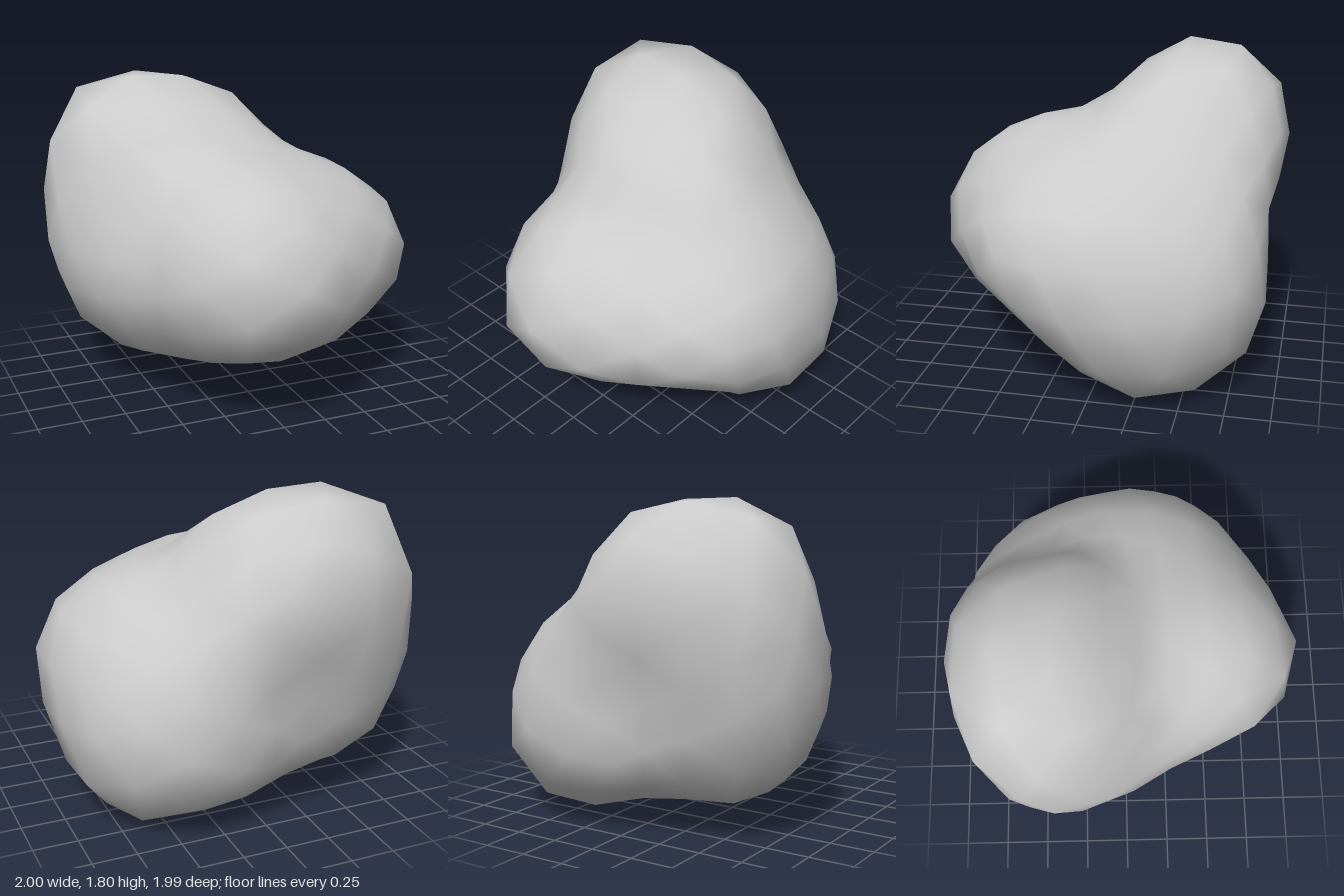
import * as THREE from 'three';
import { mergeVertices } from 'three/addons/utils/BufferGeometryUtils.js';

const CORE = new THREE.Vector3(0, 0.85, -0.1);

// Landmarks on the skin, grouped by region; the surface is a smooth radius field through them
const REGIONS = {
  hump: [
    [-0.14, 1.78, -0.38], [-0.58, 1.77, -0.6], [-0.86, 1.63, -0.5], [-0.95, 1.32, -0.42],
    [-0.3, 1.46, -0.95], [-0.65, 1.3, -0.9], [-0.88, 1.1, -0.73], [0.21, 1.57, -0.55],
    [-0.3, 1.65, -0.1], [-0.35, 1.46, 0.1], [0.34, 1.36, -0.5],
  ],
  leftFlank: [
    [-1, 0.95, -0.42], [-0.92, 0.56, -0.35], [-0.83, 0.35, -0.35], [-0.92, 0.85, -0.1],
    [-0.65, 1.05, 0.18], [-0.6, 0.75, 0.53], [-0.52, 0.45, 0.45], [-0.6, 0.2, -0.2],
  ],
  frontBulge: [
    [-0.32, 0.75, 0.95], [0.26, 0.65, 0.92], [-0.1, 1.18, 0.82], [0.3, 1.06, 0.8],
    [0, 0.38, 0.74], [0.05, 1.35, 0.5], [0.05, 0.27, 0.42],
  ],
  rightShoulder: [
    [0.1, 1.42, 0.1], [0.53, 1.31, 0.05], [0.85, 1.13, -0.1], [1, 0.88, 0],
    [0.99, 0.6, -0.33], [0.97, 0.75, 0.34], [0.78, 0.75, 0.58], [0.55, 0.3, 0.3],
  ],
  back: [
    [0.14, 1.2, -0.92], [0.42, 1.1, -0.78], [0.79, 0.65, -0.73], [0.43, 0.55, -0.93],
    [0.4, 0.27, -0.87], [0, 0.86, -0.87], [-0.45, 0.7, -0.82], [-0.78, 0.42, -0.62],
  ],
  underside: [
    [0.65, 0, -0.23], [0.94, 0.24, -0.2], [0.25, 0.04, -0.4], [-0.13, 0.15, -0.2],
    [-0.4, 0.25, -0.65], [0.5, 0.07, -0.64],
  ],
};
const BASE = 0.95;   // mean radius
const SPREAD = 0.6;  // how far each landmark pulls the skin
const SOFTNESS = 0.01;

const pull = (a, b) => Math.exp(-a.distanceToSquared(b) / SPREAD ** 2);

// Solve the pull strengths so that the skin passes through the landmarks
function fitLandmarks() {
  const marks = Object.values(REGIONS).flat().map((p) => {
    const v = new THREE.Vector3(...p).sub(CORE);
    return { rise: v.length() - BASE, dir: v.normalize(), weight: 0 };
  });
  const rows = marks.map((a) => marks.map((b) => pull(a.dir, b.dir)));
  for (let pass = 0; pass < 800; pass++) {
    marks.forEach((m, i) => {
      const others = marks.reduce((s, o, j) => (j === i ? s : s + rows[i][j] * o.weight), 0);
      m.weight = (m.rise - others) / (1 + SOFTNESS);
    });
  }
  return marks;
}

function boulderGeometry() {
  const marks = fitLandmarks();
  let geo = new THREE.IcosahedronGeometry(1, 3);
  geo.deleteAttribute('uv');
  geo.deleteAttribute('normal');
  geo = mergeVertices(geo, 1e-4);

  // Push every vertex of the coarse sphere out to the skin
  const pos = geo.attributes.position;
  const v = new THREE.Vector3();
  for (let i = 0; i < pos.count; i++) {
    v.fromBufferAttribute(pos, i).normalize();
    const radius = marks.reduce((r, m) => r + m.weight * pull(v, m.dir), BASE);
    v.multiplyScalar(radius).add(CORE);
    pos.setXYZ(i, v.x, v.y, v.z);
  }

  // Rest on the ground
  geo.computeBoundingBox();
  geo.translate(0, -geo.boundingBox.min.y, 0);
  geo.computeVertexNormals();
  return geo;
}

export function createModel() {
  const group = new THREE.Group();
  group.name = 'rock';
  const boulder = new THREE.Mesh(
    boulderGeometry(),
    new THREE.MeshStandardMaterial({ color: 0xcccccc })
  );
  boulder.name = 'boulder';
  group.add(boulder);
  return group;
}
